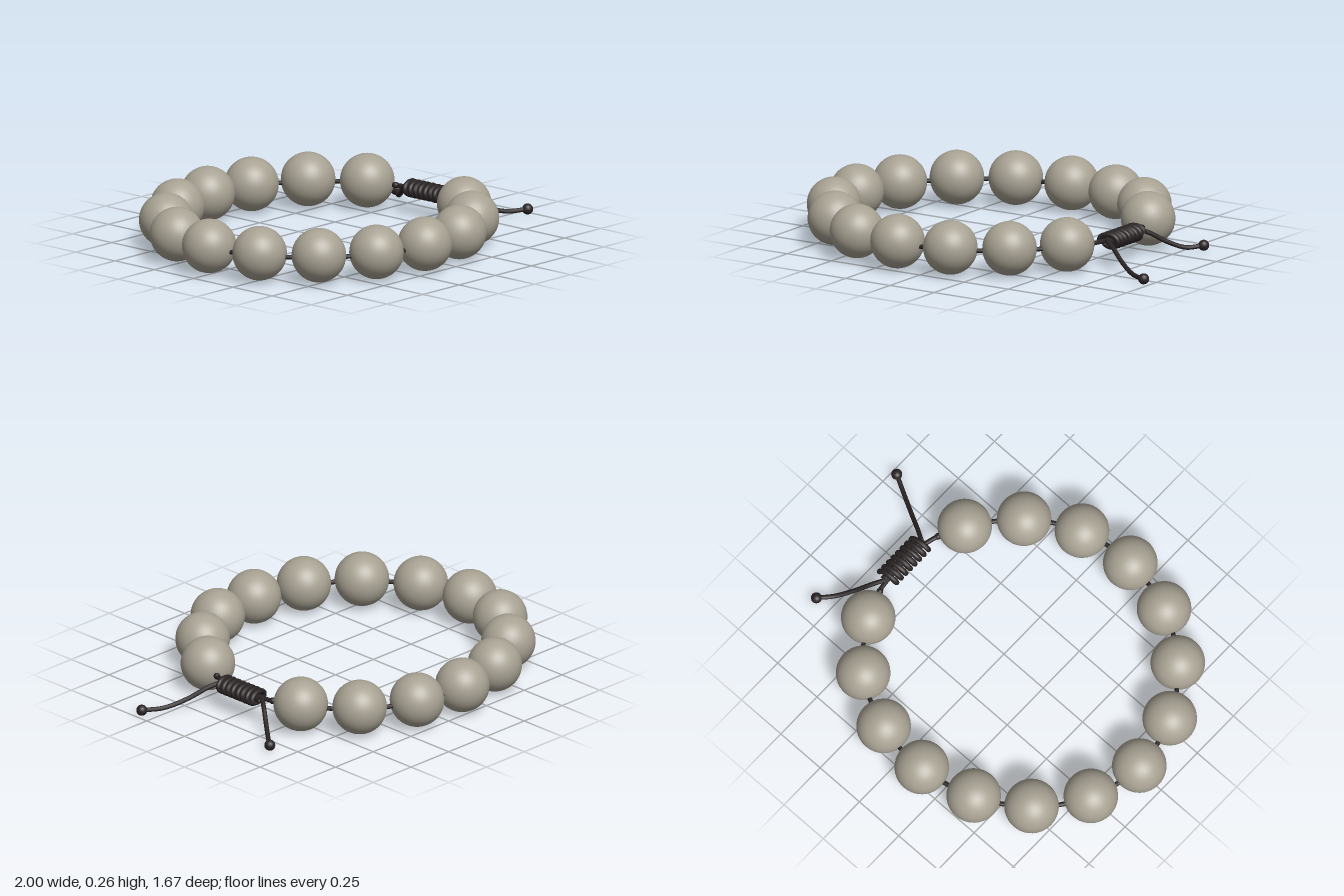
import * as THREE from 'three';

const beadMat = new THREE.MeshStandardMaterial({ color: 0xa8a293 });
beadMat.name = 'stoneBeige';
const cordMat = new THREE.MeshStandardMaterial({ color: 0x2a2324 });
cordMat.name = 'darkCord';

// bead centres around the loop (x, z), starting beside the knot
const BEADS = [
  [0.56, -0.33], [0.39, -0.55], [0.14, -0.68], [-0.13, -0.71], [-0.405, -0.65],
  [-0.64, -0.505], [-0.81, -0.28], [-0.875, -0.015], [-0.82, 0.255], [-0.66, 0.485],
  [-0.43, 0.64], [-0.16, 0.70], [0.115, 0.665], [0.355, 0.525], [0.535, 0.31],
];
const CORD_Y = 0.122;

const v = (x, y, z) => new THREE.Vector3(x, y, z);

function add(parent, name, geometry, material, position) {
  const mesh = new THREE.Mesh(geometry, material);
  mesh.name = name;
  if (position) mesh.position.copy(position);
  parent.add(mesh);
  return mesh;
}

function tube(parent, name, points, radius, segments, closed = false) {
  const curve = new THREE.CatmullRomCurve3(points, closed);
  return add(parent, name, new THREE.TubeGeometry(curve, segments, radius, 10, closed), cordMat);
}

export function createModel() {
  const group = new THREE.Group();
  group.name = 'beadBracelet';

  // beads
  const beads = new THREE.Group();
  beads.name = 'beads';
  group.add(beads);
  const beadGeo = new THREE.SphereGeometry(0.128, 40, 28);
  BEADS.forEach(([x, z], i) => add(beads, `bead${i + 1}`, beadGeo, beadMat, v(x, 0.133, z)));

  // cord threaded through all beads and the knot
  const loop = BEADS.map(([x, z]) => v(x, CORD_Y, z));
  loop.push(v(0.595, CORD_Y, 0.19), v(0.62, CORD_Y, 0.09), v(0.628, CORD_Y, -0.02),
    v(0.622, CORD_Y, -0.13), v(0.609, CORD_Y, -0.21));
  tube(group, 'threadCord', loop, 0.011, 260, true);

  // sliding knot: an oval coil wound around the cord
  const knot = new THREE.Group();
  knot.name = 'slidingKnot';
  group.add(knot);
  const turns = 7.5, steps = 120, coil = [];
  for (let i = 0; i <= steps; i++) {
    const t = i / steps, a = t * turns * Math.PI * 2;
    coil.push(v(0.63 + 0.048 * Math.cos(a), 0.12 + 0.031 * Math.sin(a), -0.125 + 0.237 * t));
  }
  tube(knot, 'coil', coil, 0.0125, 360);
  tube(knot, 'innerStrand', [v(0.637, 0.12, -0.145), v(0.64, 0.12, 0), v(0.637, 0.12, 0.13)], 0.018, 20);

  // small stops where the cord leaves the beads
  const stopGeo = new THREE.SphereGeometry(0.016, 14, 10);
  add(group, 'cordStop', stopGeo, cordMat, v(0.595, CORD_Y, 0.19));
  add(group, 'cordStop', stopGeo, cordMat, v(0.61, CORD_Y, -0.195));

  // loose tails, each ending in a round knot
  const tails = [
    [v(0.625, 0.13, -0.135), v(0.665, 0.105, -0.19), v(0.715, 0.058, -0.255),
      v(0.775, 0.022, -0.33), v(0.83, 0.027, -0.395)],
    [v(0.625, 0.13, 0.115), v(0.69, 0.105, 0.155), v(0.775, 0.058, 0.205),
      v(0.875, 0.025, 0.262), v(0.97, 0.027, 0.313)],
  ];
  const endGeo = new THREE.SphereGeometry(0.026, 20, 14);
  for (const points of tails) {
    const tail = new THREE.Group();
    tail.name = 'tail';
    group.add(tail);
    tube(tail, 'tailCord', points, 0.011, 40);
    add(tail, 'endKnot', endGeo, cordMat, points[points.length - 1]);
  }

  return group;
}
